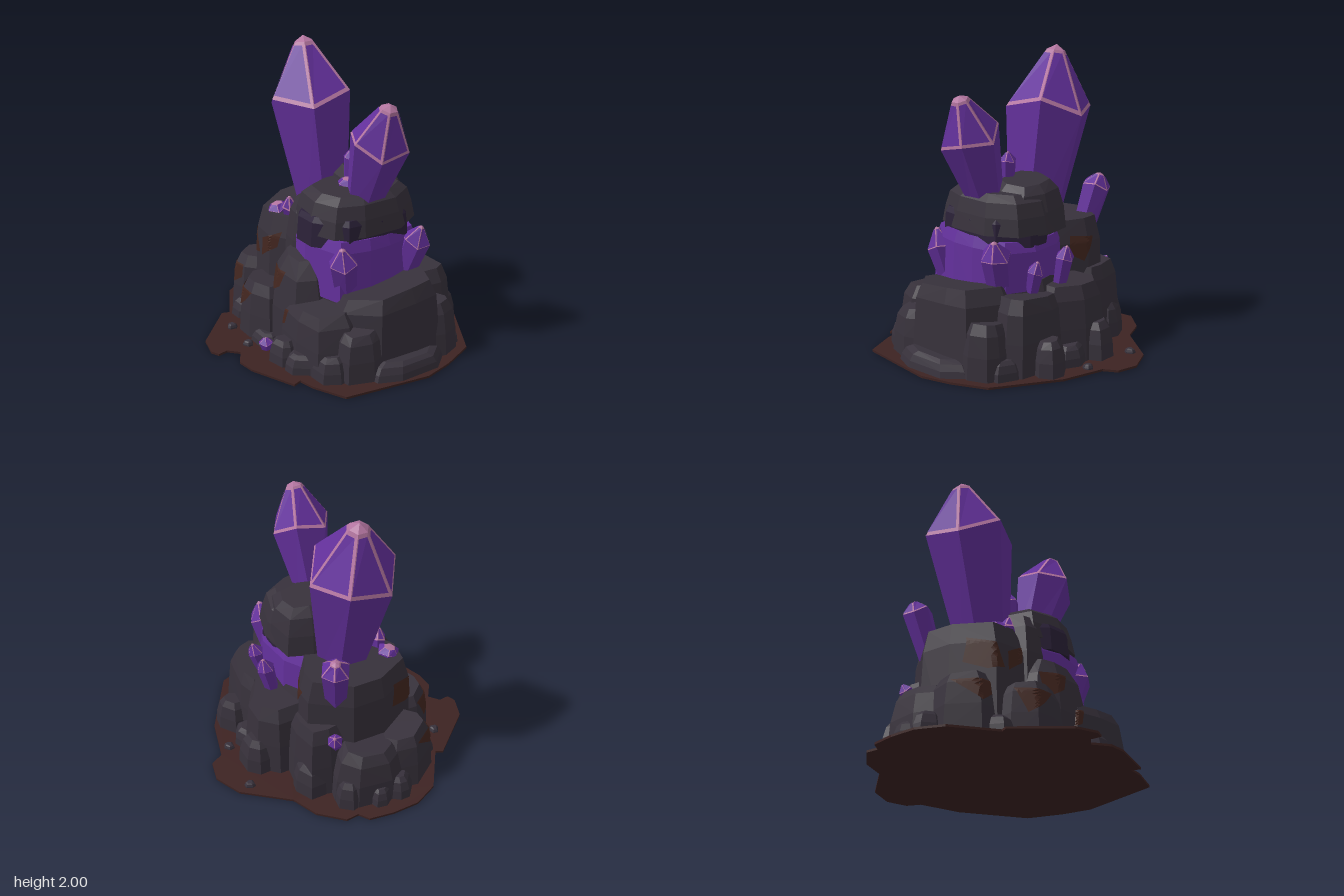
import * as THREE from 'three';
import { ConvexGeometry } from 'three/addons/geometries/ConvexGeometry.js';

const flat = (name, color) => {
  const m = new THREE.MeshStandardMaterial({ color, flatShading: true });
  m.name = name;
  return m;
};

export function createModel() {
  const model = new THREE.Group();
  model.name = 'crystalRock';
  const rock = flat('charcoal rock', 0x37313b);
  const shade = flat('violet shaded rock', 0x2b2138);
  const earth = flat('brown earth', 0x3d2322);
  const rust = flat('rust patch', 0x43261f);
  const purple = flat('purple crystal', 0x63309b);
  const pink = flat('pink crystal edge', 0xb2749f);
  rust.side = THREE.DoubleSide;

  let seed = 11;
  const rnd = () => (seed = (seed * 16807) % 2147483647) / 2147483647;
  const add = (name, geo, mat, parent = model) => {
    const mesh = new THREE.Mesh(geo, mat);
    mesh.name = name;
    parent.add(mesh);
    return mesh;
  };

  // Chunky boulder: jittered, boxy rings wrapped in a convex hull
  const boulder = (name, x, z, rx, rz, y0, y1, top = 0.68, mat = rock, n = 8) => {
    const pts = [];
    const turn = rnd() * 6;
    const levels = [[0, 1.04], [0.45, 0.98], [0.82, (1 + top) / 2 + 0.03], [1, top]];
    const tx = (rnd() - 0.5) * 0.1, tz = (rnd() - 0.5) * 0.1;
    const spokes = Array.from({ length: n }, (_, i) => {
      const a = turn + ((i + (rnd() - 0.5) * 0.5) / n) * Math.PI * 2;
      const c = Math.cos(a), s = Math.sin(a);
      const k = (0.97 + rnd() * 0.1) / Math.pow(c ** 4 + s ** 4, 0.17);
      return [c * k, s * k];
    });
    for (const [t, r] of levels) {
      for (const [c, s] of spokes) {
        const h = y0 + (y1 - y0) * t * (1 + (c * tx + s * tz) * t);
        pts.push(new THREE.Vector3(x + c * rx * r, h, z + s * rz * r));
      }
    }
    return add(name, new ConvexGeometry(pts), mat);
  };

  // Ragged earth disc
  const outline = [
    [-0.13, -0.94], [0.02, -0.91], [0.07, -0.82], [0.37, -0.75], [0.8, -0.5], [0.9, -0.26],
    [0.95, -0.05], [0.92, 0.13], [0.85, 0.54], [0.62, 0.64], [0.51, 0.66], [0.53, 0.72],
    [0.21, 0.84], [0.08, 0.85], [-0.03, 0.78], [-0.1, 0.84], [-0.09, 0.91], [-0.15, 0.935],
    [-0.3, 0.89], [-0.58, 0.59], [-0.56, 0.54], [-0.85, 0.36], [-0.94, 0.19], [-0.95, 0],
    [-0.93, -0.17], [-0.86, -0.22], [-0.87, -0.31], [-0.73, -0.47], [-0.55, -0.55], [-0.32, -0.85],
  ];
  const disc = new THREE.Shape(outline.map(([x, z]) => new THREE.Vector2(x, -z)));
  add('ground', new THREE.ExtrudeGeometry(disc, { depth: 0.015, bevelEnabled: false }).rotateX(-Math.PI / 2), earth);

  // Core stack: tall left block, purple seam and the cap above it
  const low = 0.006;
  const leftBlock = boulder('leftBlock', -0.3, 0, 0.3, 0.4, low, 0.85, 0.86, rock, 9);
  boulder('rockCore', 0.12, -0.02, 0.42, 0.42, low, 0.55, 0.9);
  boulder('crystalSeam', 0.16, 0, 0.34, 0.38, 0.45, 0.84, 0.93, purple, 11);
  boulder('capUnderside', 0.17, -0.01, 0.3, 0.36, 0.79, 0.98, 0.95, shade, 10);
  boulder('capRock', 0.18, -0.02, 0.29, 0.36, 0.87, 1.12, 0.74, rock, 10);
  boulder('capBack', 0.1, -0.16, 0.24, 0.22, 0.85, 1.18, 0.62, rock, 9);
  boulder('capShoulder', -0.01, 0.17, 0.15, 0.19, 0.5, 1.03, 0.6, rock, 8);

  // Surrounding boulders
  const midFront = boulder('midFrontBoulder', 0.09, 0.34, 0.26, 0.19, low, 0.69, 0.48);
  boulder('rightBoulder', 0.53, 0, 0.26, 0.38, low, 0.54, 0.8, rock, 9);
  boulder('rightSkirt', 0.73, 0, 0.17, 0.3, low, 0.12, 0.7);
  const frontLeft = boulder('frontLeftBoulder', -0.58, 0.24, 0.19, 0.21, low, 0.41, 0.7);
  const frontMid = boulder('frontMidBoulder', -0.2, 0.42, 0.21, 0.18, low, 0.4, 0.72);
  const frontRight = boulder('frontRightBoulder', 0.37, 0.38, 0.3, 0.2, low, 0.43, 0.72);
  boulder('leftBoulder', -0.63, -0.04, 0.19, 0.25, low, 0.4, 0.62);
  boulder('leftBackBoulder', -0.38, -0.28, 0.22, 0.18, low, 0.54, 0.75);
  boulder('backBoulder', -0.02, -0.43, 0.26, 0.21, low, 0.52, 0.72);
  boulder('backRightBoulder', 0.36, -0.4, 0.25, 0.19, low, 0.5, 0.72);
  boulder('sideBackBoulder', 0.62, -0.3, 0.18, 0.17, low, 0.36, 0.66);
  boulder('sideFrontBoulder', 0.64, 0.29, 0.15, 0.16, low, 0.35, 0.66);

  // Foot stones [x, z, radius, height] and loose pebbles
  [
    [-0.47, 0.43, 0.11, 0.14], [-0.75, 0.12, 0.11, 0.17], [0.22, 0.58, 0.11, 0.17],
    [0.39, 0.55, 0.12, 0.13], [0.58, 0.46, 0.12, 0.18], [0.35, -0.6, 0.12, 0.24],
    [-0.1, -0.6, 0.13, 0.26], [0.13, -0.58, 0.11, 0.15], [0.6, -0.44, 0.11, 0.14],
    [-0.48, -0.38, 0.12, 0.25], [-0.7, -0.2, 0.11, 0.2], [-0.05, 0.54, 0.1, 0.1],
    [-0.79, -0.02, 0.08, 0.14],
  ].forEach(([x, z, r, h]) => boulder('footStone', x, z, r, r * 0.95, low, h, 0.55, rock, 7));
  [
    [-0.29, -0.76], [0.12, -0.74], [-0.61, 0.43], [-0.36, 0.64], [-0.09, 0.68],
  ].forEach(([x, z]) => boulder('pebble', x, z, 0.035, 0.035, low, 0.045, 0.5, rock, 6));
  boulder('capPebble', 0.02, -0.27, 0.04, 0.04, 1.06, 1.15, 0.5, shade, 6);

  // Rust patches laid on a rock face; side is 1 for front, -1 for back
  const ray = new THREE.Raycaster();
  const patch = (target, points, side = 1) => {
    const steps = 6;
    const cx = points.reduce((s, p) => s + p[0], 0) / points.length;
    const cy = points.reduce((s, p) => s + p[1], 0) / points.length;
    const project = ([x, y]) => {
      ray.set(new THREE.Vector3(x, y, side * 3), new THREE.Vector3(0, 0, -side));
      const hit = ray.intersectObject(target)[0];
      return hit && hit.point.addScaledVector(hit.face.normal, 0.008);
    };
    const tris = [];
    const addTri = (...corners) => {
      const hits = corners.map(project);
      if (hits.every(Boolean)) tris.push(...hits);
    };
    points.forEach((p, i) => {
      const o = points[(i + 1) % points.length];
      const at = (u, v) => [0, 1].map((k) => [cx, cy][k] + ((p[k] - [cx, cy][k]) * u + (o[k] - [cx, cy][k]) * v) / steps);
      for (let u = 0; u < steps; u++) {
        for (let v = 0; u + v < steps; v++) {
          addTri(at(u, v), at(u + 1, v), at(u, v + 1));
          if (u + v < steps - 1) addTri(at(u + 1, v), at(u + 1, v + 1), at(u, v + 1));
        }
      }
    });
    const geo = new THREE.BufferGeometry().setFromPoints(tris);
    geo.computeVertexNormals();
    add('rustPatch', geo, rust);
  };
  patch(leftBlock, [[-0.52, 0.73], [-0.43, 0.68], [-0.37, 0.52], [-0.46, 0.5], [-0.54, 0.56]]);
  patch(leftBlock, [[-0.34, 0.64], [-0.17, 0.73], [-0.19, 0.62], [-0.34, 0.51]]);
  patch(leftBlock, [[-0.34, 0.74], [-0.18, 0.76], [-0.16, 0.64], [-0.26, 0.58]], -1);
  patch(midFront, [[-0.1, 0.56], [0.09, 0.57], [0.05, 0.46], [-0.04, 0.4], [-0.09, 0.44]]);
  patch(frontLeft, [[-0.74, 0.35], [-0.54, 0.36], [-0.54, 0.27], [-0.63, 0.21]]);
  patch(frontMid, [[-0.38, 0.35], [-0.17, 0.34], [-0.24, 0.26], [-0.34, 0.18]]);
  patch(frontRight, [[0.12, 0.34], [0.2, 0.35], [0.17, 0.25], [0.11, 0.22]]);

  // Crystal: tapered shaft, pink faceted tip, purple plates inset on the tip facets
  const crystal = (name, base, tip, r0, r1, shoulder, inset = 0.9, blunt = 0.17) => {
    const group = new THREE.Group();
    group.name = name;
    model.add(group);
    const n = 6;
    const a = new THREE.Vector3(...base), axis = new THREE.Vector3(...tip).sub(a);
    const len = axis.length();
    const q = new THREE.Quaternion().setFromUnitVectors(new THREE.Vector3(0, 1, 0), axis.normalize());
    const ring = (t, r, zig = 0) => Array.from({ length: n }, (_, i) => {
      const ang = (i / n) * Math.PI * 2;
      const h = len * t + (i % 2 ? -zig : zig) * r;
      return new THREE.Vector3(Math.sin(ang) * r, h, Math.cos(ang) * r).applyQuaternion(q).add(a);
    });
    const rings = [ring(0, r0), ring(shoulder, r1, 0.12), ring(0.97, r1 * blunt), ring(1, 0.001)];
    const shaft = [], shell = [], plates = [];
    for (let k = 0; k < 3; k++) {
      for (let i = 0; i < n; i++) {
        const j = (i + 1) % n;
        const [p, s, u, v] = [rings[k][i], rings[k][j], rings[k + 1][j], rings[k + 1][i]];
        (k ? shell : shaft).push(p, s, u, p, u, v);
        if (k !== 1) continue;
        const mid = p.clone().add(u).multiplyScalar(0.5);
        const normal = u.clone().sub(p).cross(v.clone().sub(s)).normalize();
        const [p2, s2, u2, v2] = [p, s, u, v].map((w) => w.clone().lerp(mid, 1 - inset).addScaledVector(normal, 0.005));
        plates.push(p2, s2, u2, p2, u2, v2);
      }
    }
    [['shaft', shaft, purple], ['tipEdges', shell, pink], ['tipFacets', plates, purple]].forEach(([part, pts, mat]) => {
      const geo = new THREE.BufferGeometry().setFromPoints(pts);
      geo.computeVertexNormals();
      add(part, geo, mat, group);
    });
  };
  crystal('largeCrystal', [-0.14, 0.7, 0], [-0.39, 2, 0], 0.16, 0.3, 0.685, 0.87, 0.22);
  crystal('mediumCrystal', [0.28, 1, 0], [0.55, 1.77, -0.01], 0.11, 0.205, 0.64, 0.86, 0.27);
  crystal('leftCrystal', [-0.46, 0.72, -0.19], [-0.57, 1.12, -0.25], 0.08, 0.1, 0.78, 0.88, 0.3);
  crystal('capCrystal', [0.12, 1.05, -0.02], [0.125, 1.35, -0.03], 0.045, 0.056, 0.78, 0.95);
  crystal('capNub', [0.15, 1.06, 0.02], [0.16, 1.16, 0.03], 0.07, 0.07, 0.7, 0.97, 0.5);
  crystal('rightFrontCrystal', [0.41, 0.5, 0.23], [0.47, 0.84, 0.3], 0.08, 0.1, 0.65, 0.92);
  crystal('rightBackCrystal', [0.42, 0.5, -0.24], [0.54, 0.87, -0.3], 0.08, 0.1, 0.7, 0.92);
  crystal('backCrystal', [0.05, 0.47, -0.42], [0.05, 0.78, -0.49], 0.045, 0.06, 0.72, 0.95);
  crystal('backRightCrystal', [0.28, 0.45, -0.38], [0.3, 0.72, -0.46], 0.04, 0.055, 0.72, 0.95);
  crystal('blockCrystal', [-0.22, 0.78, 0.24], [-0.19, 0.97, 0.26], 0.04, 0.055, 0.55, 0.75);
  crystal('blockNub', [-0.31, 0.79, 0.26], [-0.32, 0.88, 0.28], 0.07, 0.075, 0.6, 0.95, 0.5);
  crystal('lowLeftCrystal', [-0.56, 0.4, -0.24], [-0.62, 0.52, -0.28], 0.04, 0.05, 0.6, 0.97);
  crystal('groundCrystal', [0.03, 0.012, 0.61], [0.03, 0.1, 0.615], 0.035, 0.05, 0.55, 0.97);
  return model;
}
